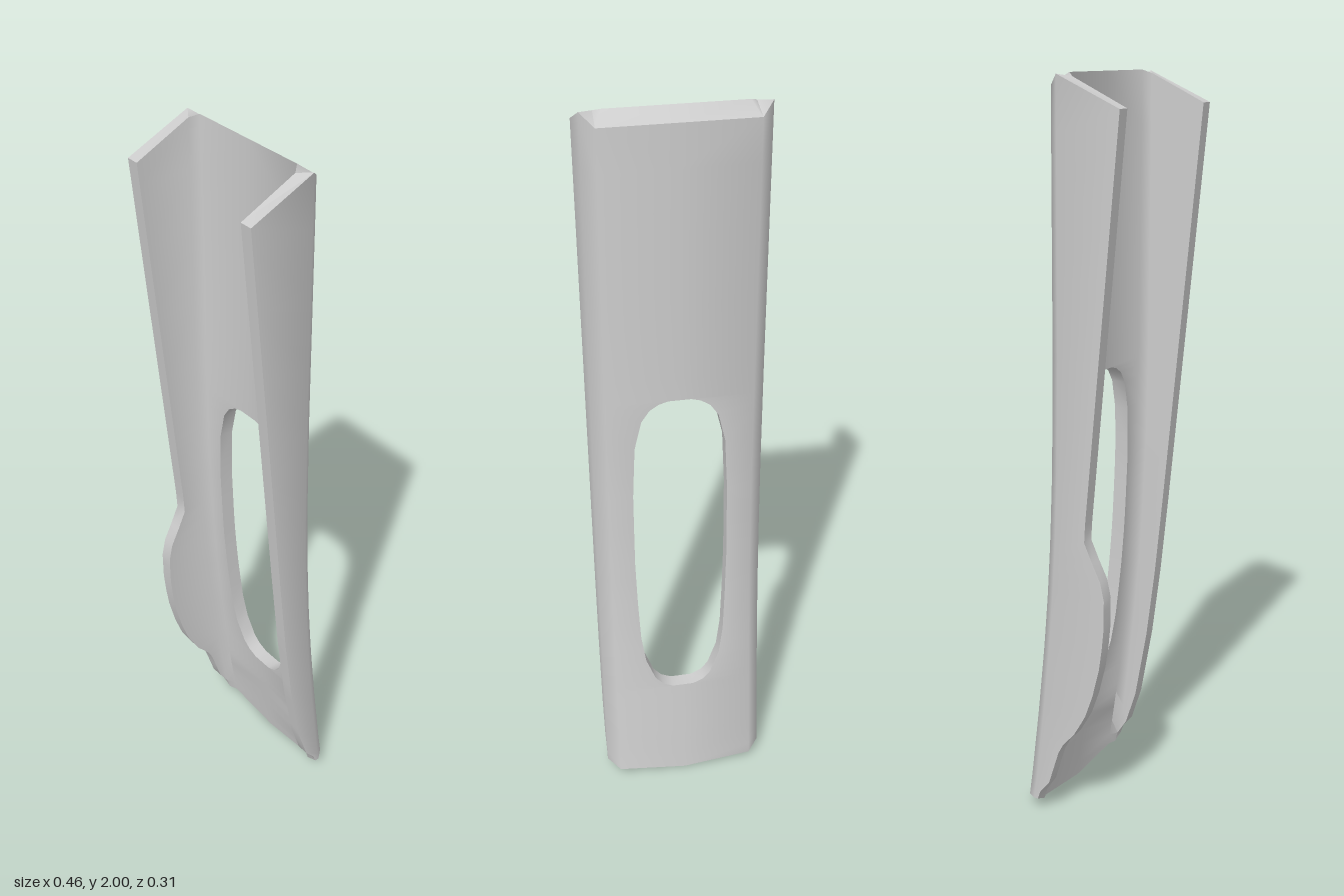
import * as THREE from 'three';
import { toCreasedNormals } from 'three/addons/utils/BufferGeometryUtils.js';

// Linear interpolation through [y, value] pairs
function sample(table, y) {
  for (let i = 1; i < table.length; i++) {
    const [y0, v0] = table[i - 1], [y1, v1] = table[i];
    if (y <= y1) return v0 + (v1 - v0) * (y - y0) / (y1 - y0);
  }
  return table[table.length - 1][1];
}

// Side profiles: rear face of the web, front edge of the flanges, bulged front edge
const BACK = [[0, -0.156], [0.1, -0.145], [0.3, -0.12], [0.5, -0.098], [0.65, -0.085],
  [0.8, -0.075], [1, -0.066], [1.3, -0.06], [2, -0.055]];
const FRONT = [[0, -0.107], [0.04, -0.098], [0.1, -0.068], [0.2, -0.036], [0.4, 0],
  [0.6, 0.026], [0.83, 0.05], [1.92, 0.157], [2, 0.157]];
const BULGE = [[0, -0.107], [0.04, -0.098], [0.1, -0.068], [0.2, -0.036], [0.23, -0.02],
  [0.27, 0.015], [0.33, 0.05], [0.4, 0.075], [0.5, 0.1], [0.6, 0.11], [0.68, 0.111],
  [0.73, 0.1], [0.78, 0.075], [0.83, 0.052], [0.88, 0.055], [1.92, 0.157], [2, 0.157]];

// Half width of the slot, bottom to top
const SLOT = [[0.3, 0.03], [0.312, 0.058], [0.335, 0.08], [0.4, 0.106], [0.48, 0.118],
  [0.6, 0.124], [0.73, 0.128], [0.95, 0.128], [1.1, 0.121], [1.18, 0.102],
  [1.212, 0.08], [1.228, 0.055], [1.235, 0.03]];

// Rows as [y, slot half width]; the slot ends repeat a row to close its wall
function makeRows() {
  const solid = [0, 0.04, 0.1, 0.15, 0.2, 0.23, 0.27, 0.3].map(y => [y, 0]);
  const ys = [...SLOT.map(p => p[0]), 0.36, 0.44, 0.54, 0.65, 0.68, 0.78, 0.83, 0.88, 1.0];
  const open = ys.sort((a, b) => a - b).map(y => [y, sample(SLOT, y)]);
  const top = [1.235, 1.3, 1.5, 1.7, 1.86, 2].map(y => [y, 0]);
  return [...solid, ...open, ...top];
}

// Half of the U section: web, chamfered corner and flange
function section(y, slot, side) {
  const back = sample(BACK, y);
  const front = sample(side > 0 ? FRONT : BULGE, y);
  const inner = back + 0.036 + 0.004 * Math.min(1, y / 0.2);
  const points = [
    [slot, back], [0.195, back], [0.228, back + 0.036], [0.228, front],
    [0.193, front], [0.193, Math.min(back + 0.06, front)], [0.175, inner], [slot, inner],
  ];
  return points.map(([x, z]) => {
    // Bowed lower edge and bevelled top edge
    let py = y + 0.038 * (x / 0.228) ** 3 * Math.max(0, 1 - y / 0.1);
    if (y === 2) py = z > -0.015 ? 2 - (z + 0.015) * 0.465 : 2 + (z + 0.015) * 0.75;
    return new THREE.Vector3(x * side, py, z);
  });
}

function channelGeometry() {
  const positions = [];
  const tri = (a, b, c, side) => {
    const area = b.clone().sub(a).cross(c.clone().sub(a)).length();
    if (area < 1e-9) return;
    for (const p of side > 0 ? [a, b, c] : [a, c, b]) positions.push(p.x, p.y, p.z);
  };
  const quad = (a, b, c, d, side) => { tri(a, b, c, side); tri(a, c, d, side); };

  const rows = makeRows();
  for (const side of [1, -1]) {
    const loops = rows.map(([y, slot]) => section(y, slot, side));
    for (let j = 0; j < rows.length - 1; j++) {
      const lo = loops[j], hi = loops[j + 1];
      for (let i = 0; i < 8; i++) {
        // No wall on the centre line where the web is solid
        if (i === 7 && rows[j][1] === 0 && rows[j + 1][1] === 0) continue;
        const k = (i + 1) % 8;
        quad(lo[i], hi[i], hi[k], lo[k], side);
      }
    }
    // End caps
    const a = loops[0], b = loops[loops.length - 1];
    for (let i = 0; i < 3; i++) {
      quad(a[i], a[i + 1], a[6 - i], a[7 - i], side);
      quad(b[i], b[7 - i], b[6 - i], b[i + 1], side);
    }
  }
  const geometry = new THREE.BufferGeometry();
  geometry.setAttribute('position', new THREE.Float32BufferAttribute(positions, 3));
  return toCreasedNormals(geometry, 0.85);
}

export function createModel() {
  const group = new THREE.Group();
  group.name = 'slottedChannel';
  const channel = new THREE.Mesh(
    channelGeometry(),
    new THREE.MeshStandardMaterial({ color: 0xcccccc }),
  );
  channel.name = 'channelBody';
  group.add(channel);
  return group;
}
